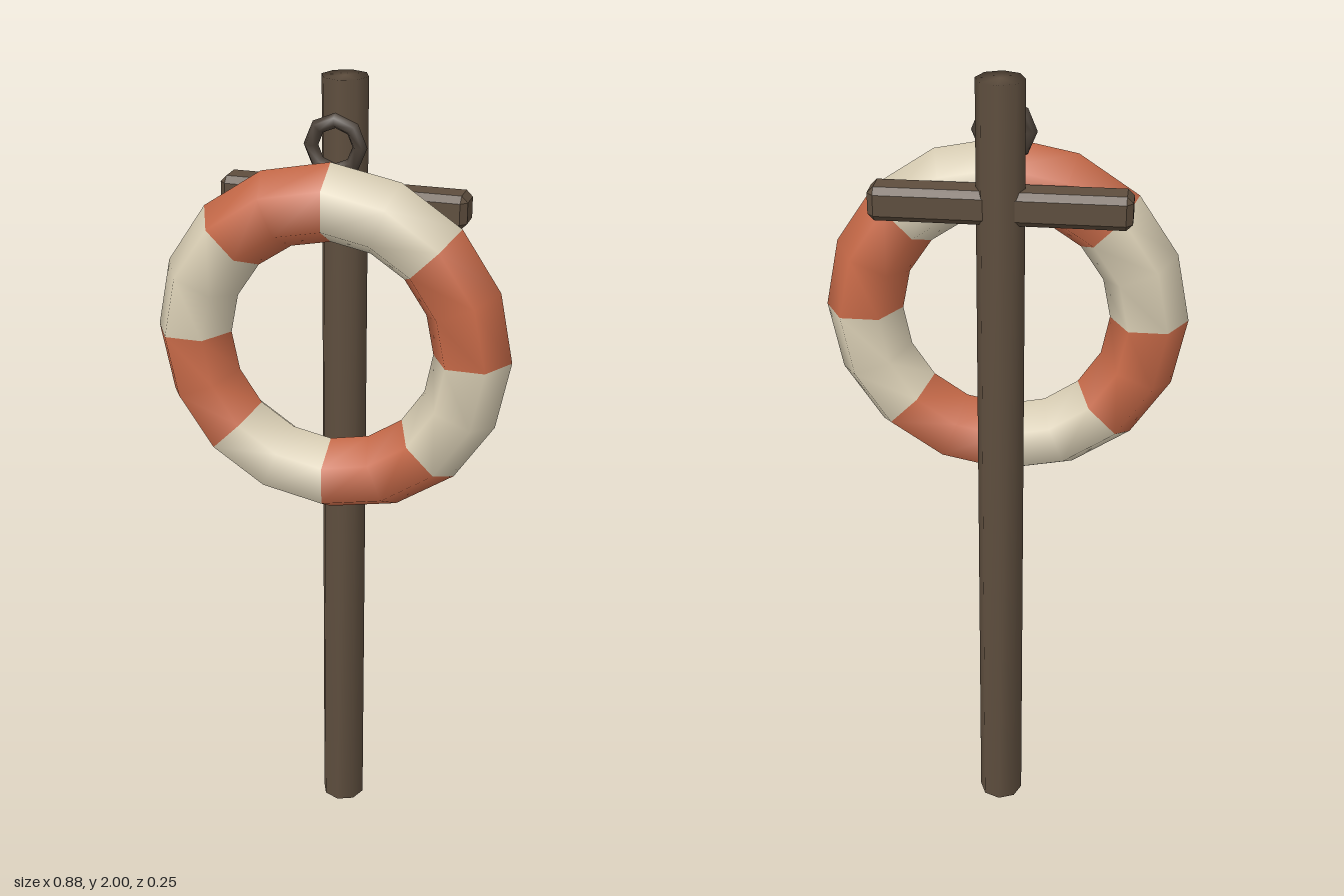
import * as THREE from 'three';
import { mergeVertices } from 'three/addons/utils/BufferGeometryUtils.js';
import { ConvexGeometry } from 'three/addons/geometries/ConvexGeometry.js';

const material = (name, color) => {
  const m = new THREE.MeshStandardMaterial({ color });
  m.name = name;
  return m;
};

// Box with every edge chamfered by c
function chamferedBox(w, h, d, c) {
  const half = [w / 2, h / 2, d / 2];
  const points = [];
  for (const sx of [-1, 1]) for (const sy of [-1, 1]) for (const sz of [-1, 1]) {
    for (let face = 0; face < 3; face++) {
      const p = half.map((v, i) => (i === face ? v : v - c));
      points.push(new THREE.Vector3(p[0] * sx, p[1] * sy, p[2] * sz));
    }
  }
  return new ConvexGeometry(points);
}

// Share vertices between sides and caps so the shading rolls over the rims
function softened(geometry) {
  geometry.deleteAttribute('normal');
  geometry.deleteAttribute('uv');
  const merged = mergeVertices(geometry);
  merged.computeVertexNormals();
  return merged;
}

export function createModel() {
  const model = new THREE.Group();
  model.name = 'lifebuoyPost';

  const wood = material('brown wood', 0x5e4e3e);
  const iron = material('dark iron', 0x4a4037);
  const orange = material('faded orange', 0xc86a48);
  const cream = material('cream', 0xd9ceb4);

  const add = (parent, name, geometry, mat, x, y, z) => {
    const mesh = new THREE.Mesh(geometry, mat);
    mesh.name = name;
    mesh.position.set(x, y, z);
    parent.add(mesh);
    return mesh;
  };

  // Post and crossbar
  add(model, 'post', softened(new THREE.CylinderGeometry(0.056, 0.056, 2, 8)), wood, 0, 1, -0.072);
  add(model, 'crossbar', chamferedBox(0.6, 0.08, 0.082, 0.015), wood, 0, 1.71, -0.072);

  // Hanging loop
  add(model, 'hangingLoop', new THREE.TorusGeometry(0.058, 0.0175, 6, 8), iron, 0, 1.857, 0.005);

  // Lifebuoy: eight alternating stripes, two segments each
  const lifebuoy = new THREE.Group();
  lifebuoy.name = 'lifebuoy';
  lifebuoy.position.set(0, 1.392, 0.0425);
  model.add(lifebuoy);
  const stripe = new THREE.TorusGeometry(0.344, 0.0935, 6, 2, Math.PI / 4);
  for (let i = 0; i < 8; i++) {
    const mesh = add(lifebuoy, `stripe${i + 1}`, stripe, i % 2 ? cream : orange, 0, 0, 0);
    mesh.rotation.z = (i * Math.PI) / 4;
  }

  return model;
}
